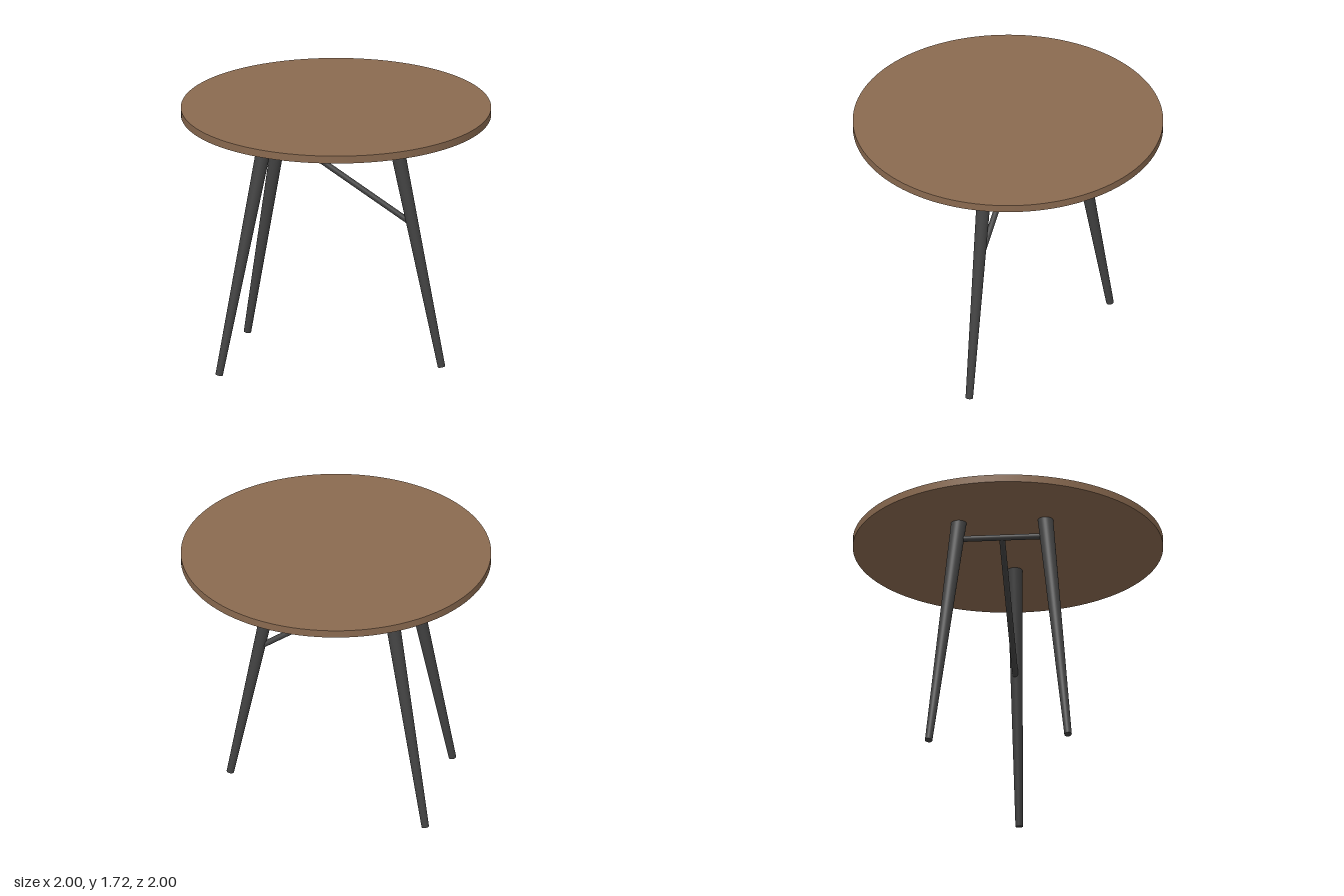
import * as THREE from 'three';

const UP = new THREE.Vector3(0, 1, 0);

// Round rod between two points, with its own radius at each end
function rod(name, from, to, rFrom, rTo, material) {
  const a = new THREE.Vector3(...from);
  const b = new THREE.Vector3(...to);
  const dir = b.clone().sub(a);
  const mesh = new THREE.Mesh(new THREE.CylinderGeometry(rTo, rFrom, dir.length(), 32), material);
  mesh.position.copy(a).add(b).multiplyScalar(0.5);
  mesh.quaternion.setFromUnitVectors(UP, dir.normalize());
  mesh.name = name;
  return mesh;
}

export function createModel() {
  const wood = new THREE.MeshStandardMaterial({ color: 0x8a6a50 });
  wood.name = 'brown wood';
  const dark = new THREE.MeshStandardMaterial({ color: 0x434343 });
  dark.name = 'dark grey';

  const table = new THREE.Group();
  table.name = 'roundTable';

  // Round top
  const top = new THREE.Mesh(new THREE.CylinderGeometry(1, 1, 0.05, 128), wood);
  top.position.y = 1.695;
  top.name = 'tableTop';
  table.add(top);

  // Three splayed legs, thicker towards the top
  const legs = [
    ['frontLeg', [0.46, 0.005, 0.52], [0.235, 1.68, 0.275]],
    ['rightLeg', [-0.79, 0.005, -0.2], [-0.465, 1.68, -0.1]],
    ['backLeg', [-0.115, 0.005, -0.8], [-0.05, 1.68, -0.475]],
  ];
  for (const [name, foot, head] of legs) {
    table.add(rod(name, foot, head, 0.024, 0.05, dark));
  }

  // Level bar between the two rear legs, and a slanting brace to the front leg
  table.add(rod('crossbar', [-0.47, 1.55, -0.115], [-0.07, 1.55, -0.485], 0.019, 0.019, dark));
  table.add(rod('diagonalBrace', [-0.27, 1.55, -0.3], [0.325, 0.97, 0.365], 0.019, 0.019, dark));

  return table;
}
